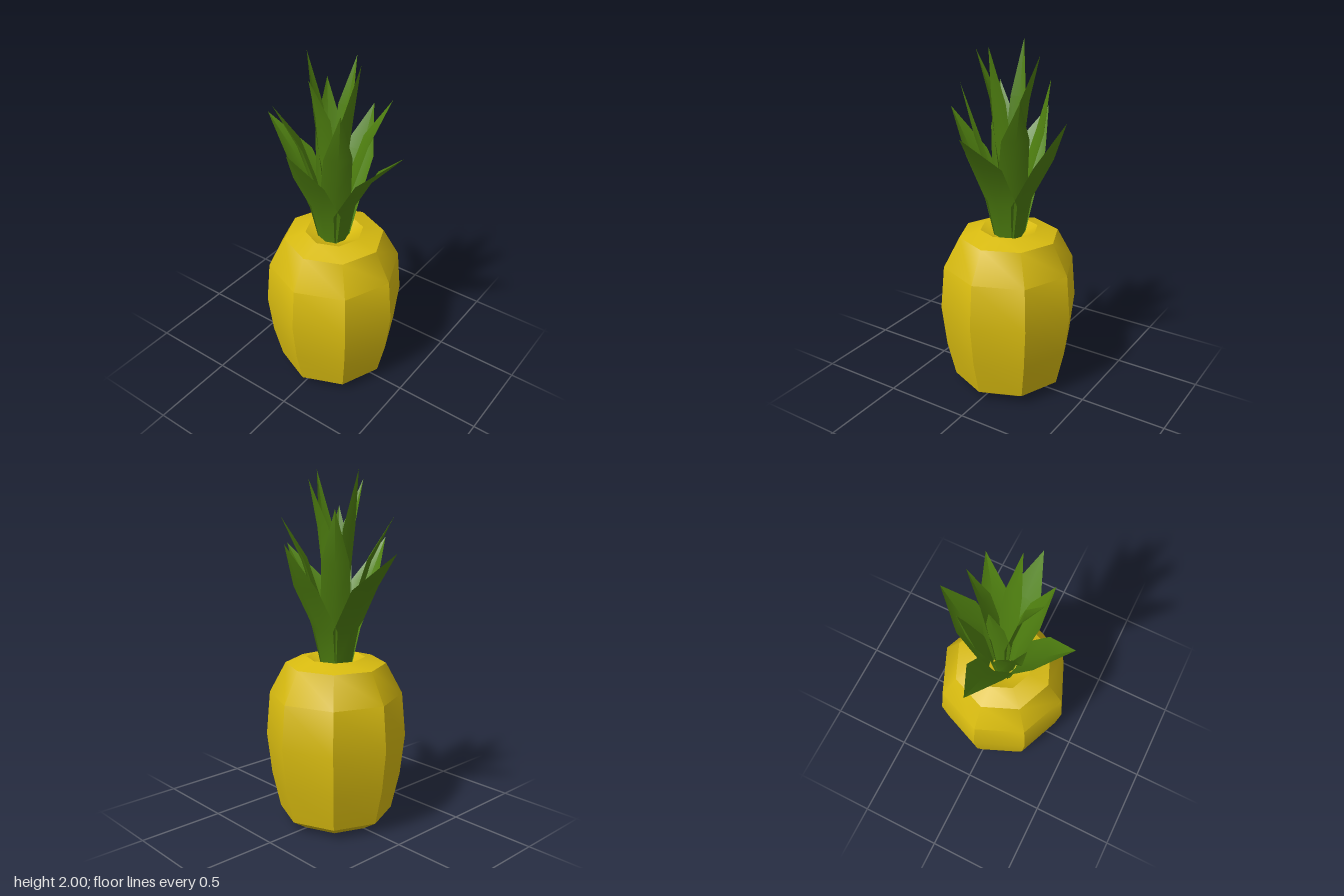
import * as THREE from 'three';
import { toCreasedNormals } from 'three/addons/utils/BufferGeometryUtils.js';

const yellow = new THREE.MeshStandardMaterial({ color: 0xd8bb10 });
const green = new THREE.MeshStandardMaterial({ color: 0x4f8010, side: THREE.DoubleSide });

// Eight-sided turned shape; profile is [radius, height] from bottom to top
function turned(name, profile, crease) {
  const points = profile.map(([r, y]) => new THREE.Vector2(r, y));
  const geometry = toCreasedNormals(new THREE.LatheGeometry(points, 8), crease);
  const mesh = new THREE.Mesh(geometry, yellow);
  mesh.name = name;
  return mesh;
}

// Slightly cupped leaf: rows of [distance out, height, half width], ending in a point
function leaf(name, rows, [tipX, tipY, tipZ]) {
  const angle = Math.atan2(tipX, tipZ);
  const all = [...rows, [Math.hypot(tipX, tipZ), tipY, 0]];
  const positions = [], index = [];
  all.forEach(([r, y, w], i) => {
    const cup = w * 0.2;
    positions.push(-w, y, r - cup, 0, y - cup * 0.5, r + cup * 0.5, w, y, r - cup);
    if (i === 0) return;
    const a = (i - 1) * 3, b = i * 3;
    for (const k of [0, 1]) {
      index.push(a + k, a + k + 1, b + k + 1);
      if (w > 0) index.push(a + k, b + k + 1, b + k);
    }
  });
  // The last row collapses to one tip; only its middle vertices matter for position
  const geometry = new THREE.BufferGeometry();
  geometry.setAttribute('position', new THREE.Float32BufferAttribute(positions, 3));
  geometry.setIndex(index);
  geometry.rotateY(angle);
  geometry.computeVertexNormals();
  const mesh = new THREE.Mesh(geometry, green);
  mesh.name = name;
  return mesh;
}

export function createModel() {
  const model = new THREE.Group();
  model.name = 'pineapple';

  // Fruit: faceted wall with softened shoulder and a shallow hollow on top
  const fruit = new THREE.Group();
  fruit.name = 'fruit';
  fruit.position.x = 0.005;
  fruit.add(turned('fruitWall', [
    [0.325, 0.06], [0.373, 0.27], [0.4, 0.51], [0.378, 0.76], [0.285, 0.935], [0.165, 0.97],
  ], 0.73));
  fruit.add(turned('crownHollow', [[0.165, 0.97], [0.08, 0.93], [0, 0.92]], 0.73));
  // Base: bevel and hollow underside
  fruit.add(turned('fruitBase', [[0, 0.04], [0.235, 0], [0.325, 0.06]], 0.73));
  model.add(fruit);

  // Crown: three tiers of four leaves, steeper and narrower towards the centre
  const crown = new THREE.Group();
  crown.name = 'crown';
  const tiers = [
    ['outerLeaf',
      [[0.07, 0.92, 0.065], [0.105, 1.14, 0.107], [0.24, 1.38, 0.102]],
      [[0.44, 1.58, 0.015], [-0.44, 1.58, 0.01], [0, 1.62, 0.39], [0.015, 1.62, -0.355]]],
    ['middleLeaf',
      [[0.05, 0.92, 0.05], [0.09, 1.22, 0.085], [0.185, 1.52, 0.075]],
      [[0.225, 1.75, -0.205], [-0.23, 1.75, 0.21], [0.18, 1.8, 0.19], [-0.16, 1.8, -0.16]]],
    ['innerLeaf',
      [[0.025, 0.92, 0.03], [0.05, 1.35, 0.06], [0.105, 1.7, 0.047]],
      [[0.175, 2, 0.015], [-0.16, 2, 0.01], [0.005, 1.95, 0.21], [0.01, 1.95, -0.19]]],
  ];
  for (const [name, rows, tips] of tiers) {
    for (const tip of tips) crown.add(leaf(name, rows, tip));
  }
  model.add(crown);
  return model;
}
